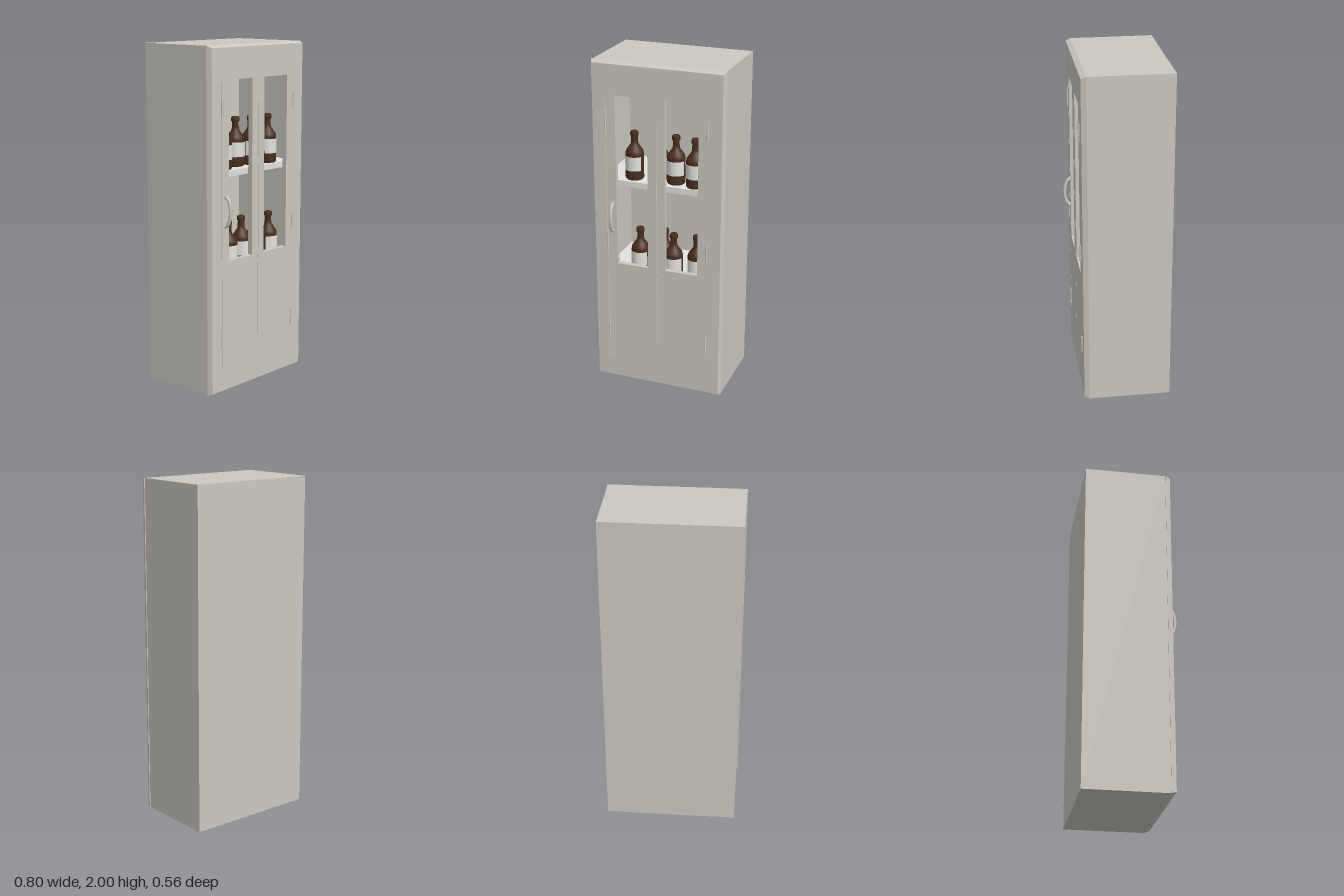
import * as THREE from 'three';

const paint = new THREE.MeshStandardMaterial({ color: 0xcbc8bf, name: 'greyPaint' });
const white = new THREE.MeshStandardMaterial({ color: 0xe2e1dd, name: 'white' });
const brown = new THREE.MeshStandardMaterial({ color: 0x4a2e1f, name: 'brownGlass' });

function add(parent, name, geometry, material, x = 0, y = 0, z = 0) {
  const mesh = new THREE.Mesh(geometry, material);
  mesh.name = name;
  mesh.position.set(x, y, z);
  parent.add(mesh);
  return mesh;
}

function box(parent, name, material, [x0, x1], [y0, y1], [z0, z1]) {
  return add(parent, name, new THREE.BoxGeometry(x1 - x0, y1 - y0, z1 - z0), material,
    (x0 + x1) / 2, (y0 + y1) / 2, (z0 + z1) / 2);
}

function rect(target, x0, x1, y0, y1) {
  target.moveTo(x0, y0);
  target.lineTo(x1, y0);
  target.lineTo(x1, y1);
  target.lineTo(x0, y1);
  target.closePath();
  return target;
}

// Front with window openings, door seams and a chamfered outer edge
function frontGeometry() {
  const W = 0.4, depth = 0.03;
  const shape = rect(new THREE.Shape(), -W, W, 0, 2);
  const openings = [
    [-0.25, -0.055, 0.78, 1.81], [0.05, 0.25, 0.78, 1.81],
    [-0.002, 0.002, 0.28, 0.72], [-0.002, 0.002, 0.75, 1.67],
    [-0.311, -0.307, 0.15, 0.72], [-0.311, -0.307, 0.8, 1.8],
  ];
  for (const o of openings) shape.holes.push(rect(new THREE.Path(), ...o));
  const geo = new THREE.ExtrudeGeometry(shape, { depth, bevelEnabled: false });
  const p = geo.attributes.position;
  for (let i = 0; i < p.count; i++) {
    if (p.getZ(i) < depth - 1e-4) continue;
    const x = p.getX(i), y = p.getY(i);
    if (Math.abs(x) > W - 1e-4) p.setX(i, Math.sign(x) * (W - 0.012));
    if (y < 1e-4) p.setY(i, 0.012);
    if (y > 2 - 1e-4) p.setY(i, 1.988);
  }
  geo.computeVertexNormals();
  return geo;
}

// Bottle standing on y = 0
const bottleProfile = [
  [0, 0], [0.048, 0], [0.054, 0.008], [0.054, 0.155], [0.05, 0.172], [0.036, 0.192],
  [0.023, 0.21], [0.02, 0.225], [0.019, 0.258], [0.024, 0.262], [0.024, 0.282], [0.02, 0.288], [0, 0.288],
].map(([r, y]) => new THREE.Vector2(r, y));
const bottleGeo = new THREE.LatheGeometry(bottleProfile, 20);
const labelGeo = new THREE.CylinderGeometry(0.0555, 0.0555, 0.085, 20, 1, true, -1.35, 2.7);

function bottle(parent, x, y, z, turn) {
  const g = new THREE.Group();
  g.name = 'bottle';
  add(g, 'bottleGlass', bottleGeo, brown);
  add(g, 'bottleLabel', labelGeo, white, 0, 0.1, 0);
  g.position.set(x, y, z);
  g.rotation.y = turn;
  parent.add(g);
}

export function createModel() {
  const model = new THREE.Group();
  model.name = 'cabinet';

  // Carcass
  const X = 0.395, T = 0.03, back = -0.28, face = 0.205;
  for (const s of [-1, 1]) {
    const xs = s < 0 ? [-X, -X + T] : [X - T, X];
    box(model, s < 0 ? 'rightSide' : 'leftSide', paint, xs, [0, 2], [back, face]);
  }
  box(model, 'topPanel', paint, [-X + T, X - T], [2 - T, 2], [back, face]);
  box(model, 'bottomPanel', paint, [-X + T, X - T], [0, T], [back, face]);
  box(model, 'backPanel', paint, [-X + T, X - T], [T, 2 - T], [back, back + T]);
  add(model, 'doorFront', frontGeometry(), paint, 0, 0, face);

  // Shelves
  for (const top of [0.7, 1.29]) {
    box(model, 'shelf', white, [-X + T, X - T], [top - 0.035, top], [back + T, 0.19]);
  }

  // Bottles: x, shelf height, z, turn
  const bottles = [
    [-0.18, 1.29, 0.12, -0.25], [-0.04, 1.29, 0.09, 0.1], [0.073, 1.29, 0.11, -0.1], [0.197, 1.29, 0.13, 0.2],
    [-0.145, 0.7, 0.13, -0.2], [0, 0.7, 0.1, 0.1], [0.066, 0.69, 0.13, 0], [0.21, 0.7, 0.13, 0.25],
  ];
  for (const b of bottles) bottle(model, ...b);

  // Hinges
  const hingeGeo = new THREE.CylinderGeometry(0.006, 0.006, 0.1, 10);
  for (const x of [-0.309, 0.305]) {
    for (const y of [0.33, 0.93, 1.66]) add(model, 'hinge', hingeGeo, paint, x, y, 0.238);
  }

  // Bowed door handle with end plates
  const points = [];
  for (let i = 0; i <= 10; i++) {
    const a = (i / 10) * Math.PI;
    points.push(new THREE.Vector3(0, 1.07 - Math.cos(a) * 0.086, 0.232 + Math.sin(a) * 0.038));
  }
  const curve = new THREE.CatmullRomCurve3(points);
  add(model, 'handle', new THREE.TubeGeometry(curve, 24, 0.01, 10), paint, -0.275);
  for (const y of [0.985, 1.155]) {
    const plate = add(model, 'handlePlate', new THREE.CylinderGeometry(0.014, 0.014, 0.008, 14), paint, -0.275, y, 0.238);
    plate.rotation.x = Math.PI / 2;
  }
  return model;
}
